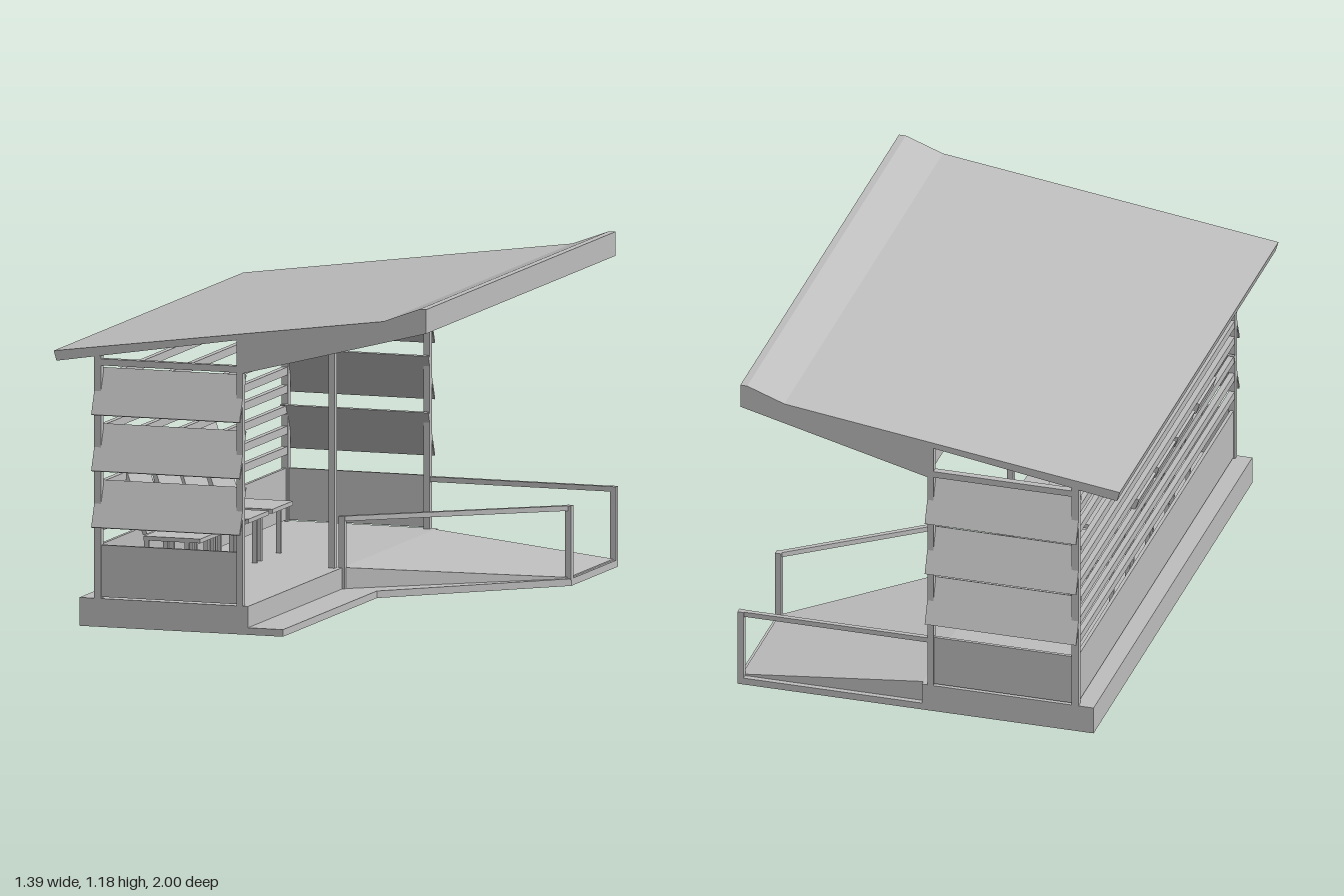
import * as THREE from 'three';

export function createModel() {
  const model = new THREE.Group();
  const grey = new THREE.MeshStandardMaterial({ color: 0xbfbfbf });
  grey.name = 'paleGrey';

  const add = (name, geometry) => {
    const mesh = new THREE.Mesh(geometry, grey);
    mesh.name = name;
    model.add(mesh);
    return mesh;
  };
  // box from its limits on each axis
  const box = (name, x0, x1, y0, y1, z0, z1) => {
    const mesh = add(name, new THREE.BoxGeometry(x1 - x0, y1 - y0, z1 - z0));
    mesh.position.set((x0 + x1) / 2, (y0 + y1) / 2, (z0 + z1) / 2);
    return mesh;
  };
  // square bar between two points
  const bar = (name, a, b, size) => {
    const from = new THREE.Vector3(...a), to = new THREE.Vector3(...b);
    const mesh = add(name, new THREE.BoxGeometry(size, size, from.distanceTo(to)));
    mesh.position.copy(from).lerp(to, 0.5);
    mesh.lookAt(to);
    return mesh;
  };
  const shapeOf = (points) => new THREE.Shape(points.map(([x, y]) => new THREE.Vector2(x, y)));
  // prism from a plan outline of [x, z] points
  const planPrism = (points, height) => {
    const geometry = new THREE.ExtrudeGeometry(shapeOf(points.map(([x, z]) => [x, -z])),
      { depth: height, bevelEnabled: false });
    return geometry.rotateX(-Math.PI / 2);
  };

  // raised floor and the low paved apron
  box('floorBase', -0.605, 0.02, 0, 0.1, -0.97, 0.97);
  add('apron', planPrism([[0, 0.97], [0.15, 0.97], [0.15, 0.01], [0.69, -0.49],
    [0.69, -0.97], [0, -0.97]], 0.025));

  // sloping ramp
  const ramp = planPrism([[0.02, 0], [0.68, -0.49], [0.68, -0.95], [0.02, -0.95]], 0.1);
  const p = ramp.attributes.position;
  for (let i = 0; i < p.count; i++) {
    if (p.getY(i) > 0.05) p.setY(i, 0.1 - 0.107 * (p.getX(i) - 0.02));
  }
  ramp.computeVertexNormals();
  add('ramp', ramp);

  // wedge roof with upturned front lip
  const roof = new THREE.ExtrudeGeometry(shapeOf([[-0.7, 0.965], [-0.69, 0.93], [0, 1.04],
    [0, 0.92], [0.68, 1.095], [0.68, 1.18], [0.655, 1.18], [0.52, 1.13], [0, 1.06]]),
    { depth: 1.94, bevelEnabled: false });
  roof.translate(0, 0, -0.97);
  add('roof', roof);

  // posts, end beams, end panels and louvres, mirrored
  for (const s of [-1, 1]) {
    const z0 = s > 0 ? 0.945 : -0.97, z1 = z0 + 0.025;
    box('backPost', -0.55, -0.525, 0.1, 0.955, z0, z1);
    box('frontPost', -0.022, 0, 0.1, 1.045, z0, z1);
    box('endBeam', -0.525, -0.022, 0.922, 0.945, z0, z1);
    box('endPanel', -0.525, -0.022, 0.105, 0.288, s * 0.958 - 0.006, s * 0.958 + 0.006);
    for (const y of [0.433, 0.632, 0.83]) {
      const louvre = box('louvre', -0.55, 0, y - 0.086, y + 0.086, s * 0.966 - 0.004, s * 0.966 + 0.004);
      louvre.rotation.x = -s * 0.38;
    }
  }
  box('middlePost', -0.022, 0, 0.1, 0.93, 0.005, 0.03);

  // back wall
  box('backPanel', -0.544, -0.532, 0.105, 0.288, -0.945, 0.945);
  for (const y of [0.35, 0.422, 0.495, 0.567, 0.63, 0.693, 0.782, 0.862]) {
    box('backSlat', -0.548, -0.528, y - 0.014, y + 0.014, -0.945, 0.945);
  }

  // row of seats
  for (const z of [0.595, 0.335, 0.1, -0.145]) {
    const half = 0.105;
    box('seat', -0.465, -0.255, 0.27, 0.285, z - half, z + half);
    const back = box('seatBack', -0.512, -0.496, 0.283, 0.557, z - half, z + half);
    back.rotation.z = 0.33;
    for (const x of [-0.455, -0.305]) {
      for (const s of [-1, 1]) {
        const lz = z + s * (half - 0.007);
        box('seatLeg', x - 0.008, x + 0.008, 0.1, 0.272, lz - 0.007, lz + 0.007);
      }
    }
  }

  // ramp handrails
  bar('diagonalRail', [0.02, 0.273, 0], [0.68, 0.273, -0.5], 0.018);
  bar('sideRail', [0, 0.275, -0.958], [0.69, 0.275, -0.958], 0.018);
  box('railPost', 0.008, 0.03, 0.02, 0.282, -0.012, 0.01);
  box('railPost', 0.668, 0.69, 0.02, 0.282, -0.512, -0.488);
  box('railPost', 0.668, 0.69, 0.02, 0.284, -0.97, -0.946);

  return model;
}
